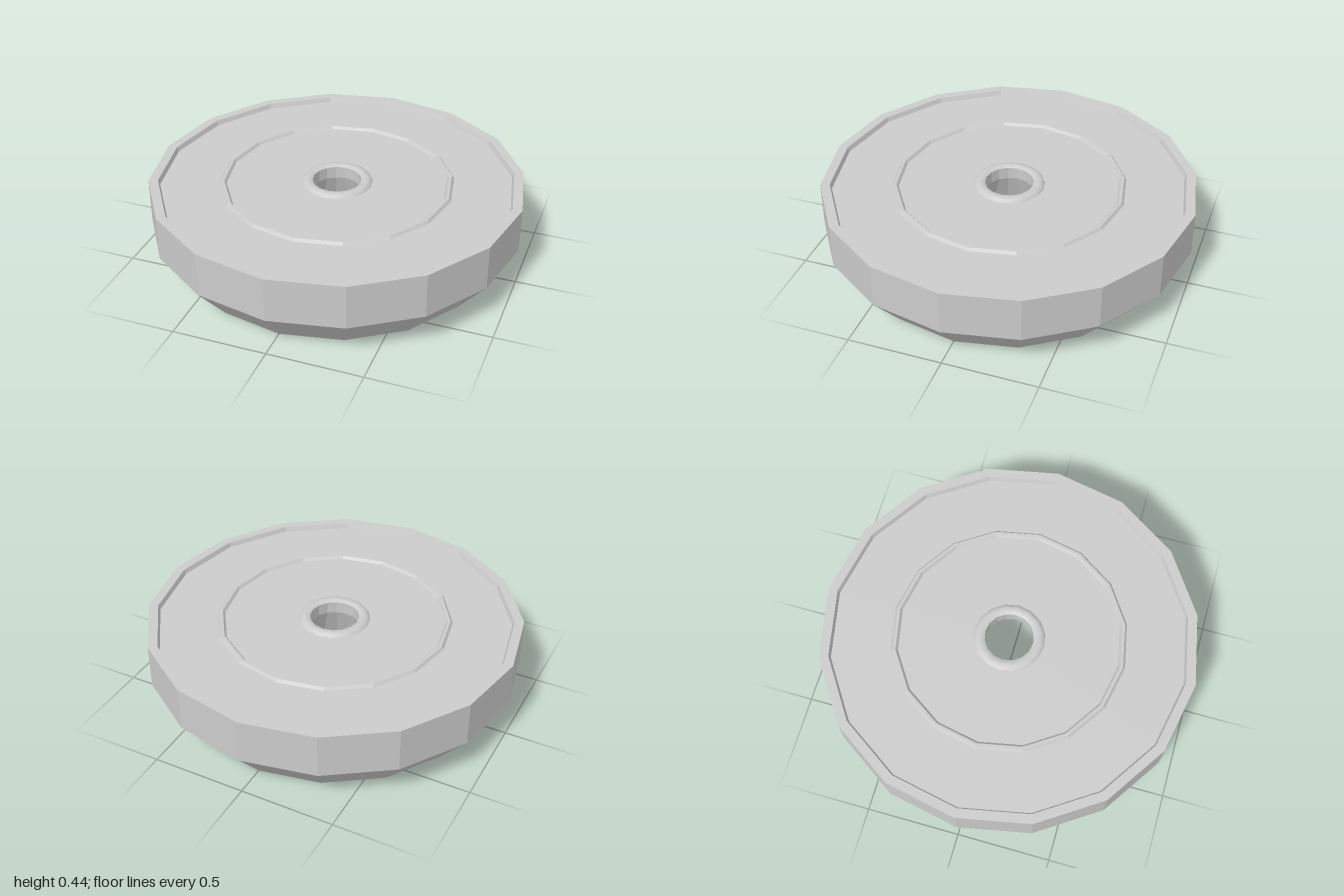
import * as THREE from 'three';

const SIDES = 16;

// Turns a profile of [radius, height] pairs, listed counter-clockwise, about the y axis
function turned(name, profile, flatShading = true) {
  const points = profile.map(([r, y]) => new THREE.Vector2(r, y));
  const geometry = new THREE.LatheGeometry(points, SIDES);
  const material = new THREE.MeshStandardMaterial({ color: 0xcccccc, flatShading });
  const mesh = new THREE.Mesh(geometry, material);
  mesh.name = name;
  return mesh;
}

export function createModel() {
  const model = new THREE.Group();
  model.name = 'disc';
  const plate = 0.415; // height of the recessed top face

  // Chamfered body: underside, outer wall, rim and recessed top face
  model.add(turned('body', [
    [0.375, 0], [0.835, 0], [1, 0.2], [1, 0.44],
    [0.95, 0.44], [0.94, plate], [0.17, plate],
  ]));

  // Low ring standing on the top face
  model.add(turned('ridge', [
    [0.627, plate], [0.615, 0.43], [0.6, 0.43], [0.588, plate],
  ]));

  // Rounded lip around the centre hole
  model.add(turned('hubLip', [
    [0.19, plate], [0.182, 0.427], [0.165, 0.434], [0.145, 0.434], [0.13, 0.425],
  ], false));

  // Centre bore, flaring out into a countersink underneath
  model.add(turned('bore', [
    [0.13, 0.425], [0.13, 0.36], [0.195, 0.178], [0.375, 0],
  ]));

  return model;
}
